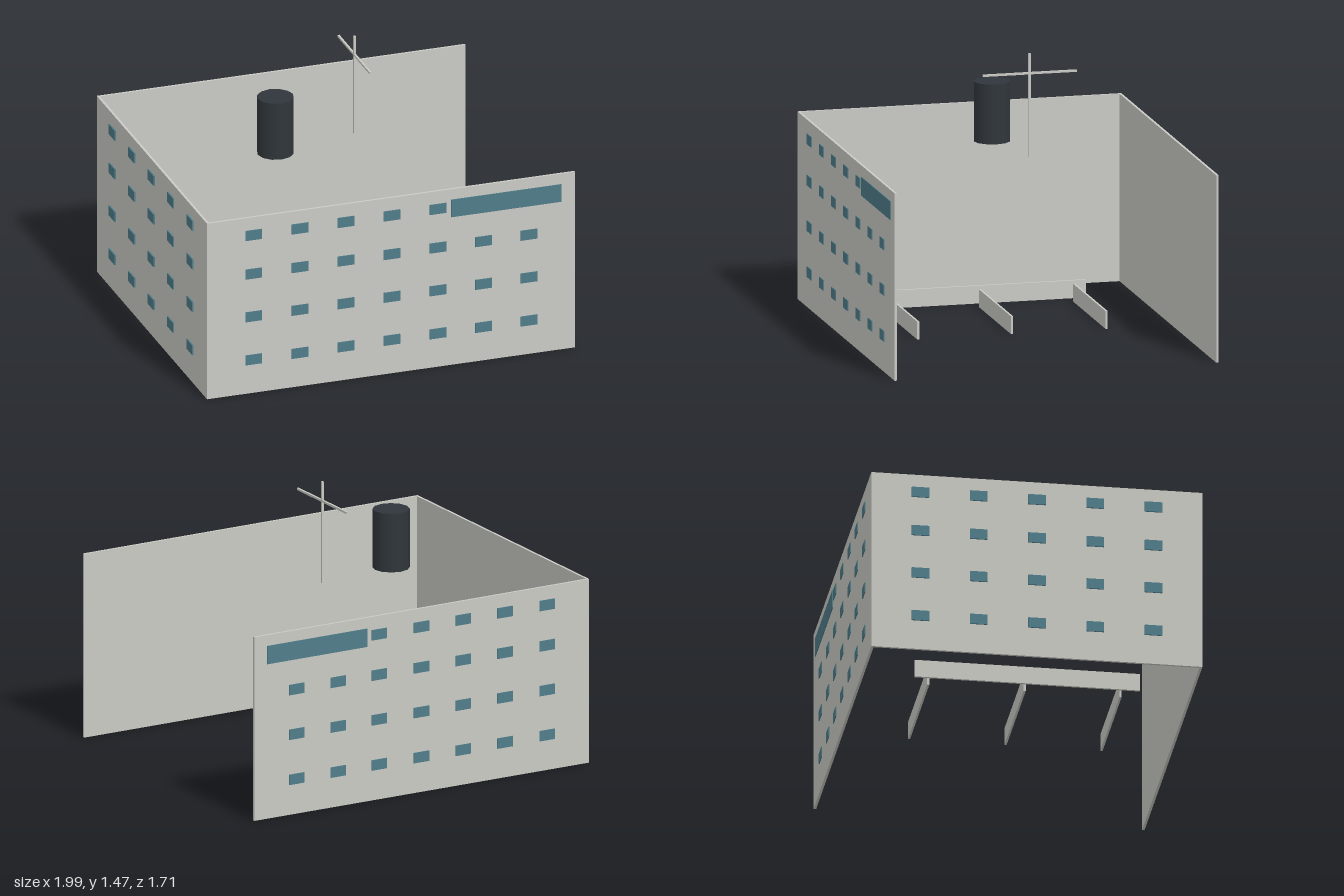
import * as THREE from 'three';

const mat = (color) => new THREE.MeshStandardMaterial({ color });

export function createModel() {
  const model = new THREE.Group();
  const wall = mat(0xcacbc5), glass = mat(0x4f7d8a), dark = mat(0x30363b);

  function add(name, geometry, material, x, y, z) {
    const mesh = new THREE.Mesh(geometry, material);
    mesh.name = name;
    mesh.position.set(x, y, z);
    model.add(mesh);
  }
  const box = (name, material, w, h, d, x, y, z) =>
    add(name, new THREE.BoxGeometry(w, h, d), material, x, y, z);

  const H = 0.978, T = 0.013;
  const rows = [0.187, 0.427, 0.665, 0.88];
  const columns = [-0.74, -0.49, -0.243, 0.005, 0.255, 0.5, 0.745];

  // Long walls, mirrored front and back, with windows and one wide panel
  for (const s of [1, -1]) {
    const side = s > 0 ? 'front' : 'back';
    box(side + 'Wall', wall, 1.985, H, T, 0.002, H / 2, s * 0.846);
    rows.forEach((y, r) => columns.forEach((x, c) => {
      if (r === 3 && c > 4) return;
      box(side + 'Window', glass, 0.09, 0.055, 0.01, x, y, s * 0.852);
    }));
    box(side + 'Panel', glass, 0.595, 0.097, 0.01, 0.623, 0.872, s * 0.852);
  }

  // End wall on the -x side; the opposite end stays open
  box('endWall', wall, T, H, 1.69, -0.985, H / 2, 0);
  for (const y of rows)
    for (const z of [-0.6, -0.3, 0, 0.3, 0.6])
      box('endWindow', glass, 0.01, 0.055, 0.09, -0.994, y, z);

  // Low partitions inside, at ground level
  box('crossPartition', wall, 0.012, 0.093, 1.16, -0.657, 0.0465, 0);
  for (const z of [-0.497, 0, 0.494])
    box('longPartition', wall, 0.66, 0.093, 0.011, -0.243, 0.0465, z);

  // Rooftop tank and antenna
  const tank = new THREE.CylinderGeometry(0.095, 0.095, 0.312, 12);
  add('tank', tank, dark, -0.325, 1.078, 0);
  box('antennaMast', wall, 0.011, 0.54, 0.012, 0.13, 1.2, -0.08);
  box('antennaBar', wall, 0.011, 0.011, 0.495, 0.13, 1.367, -0.082);

  return model;
}
